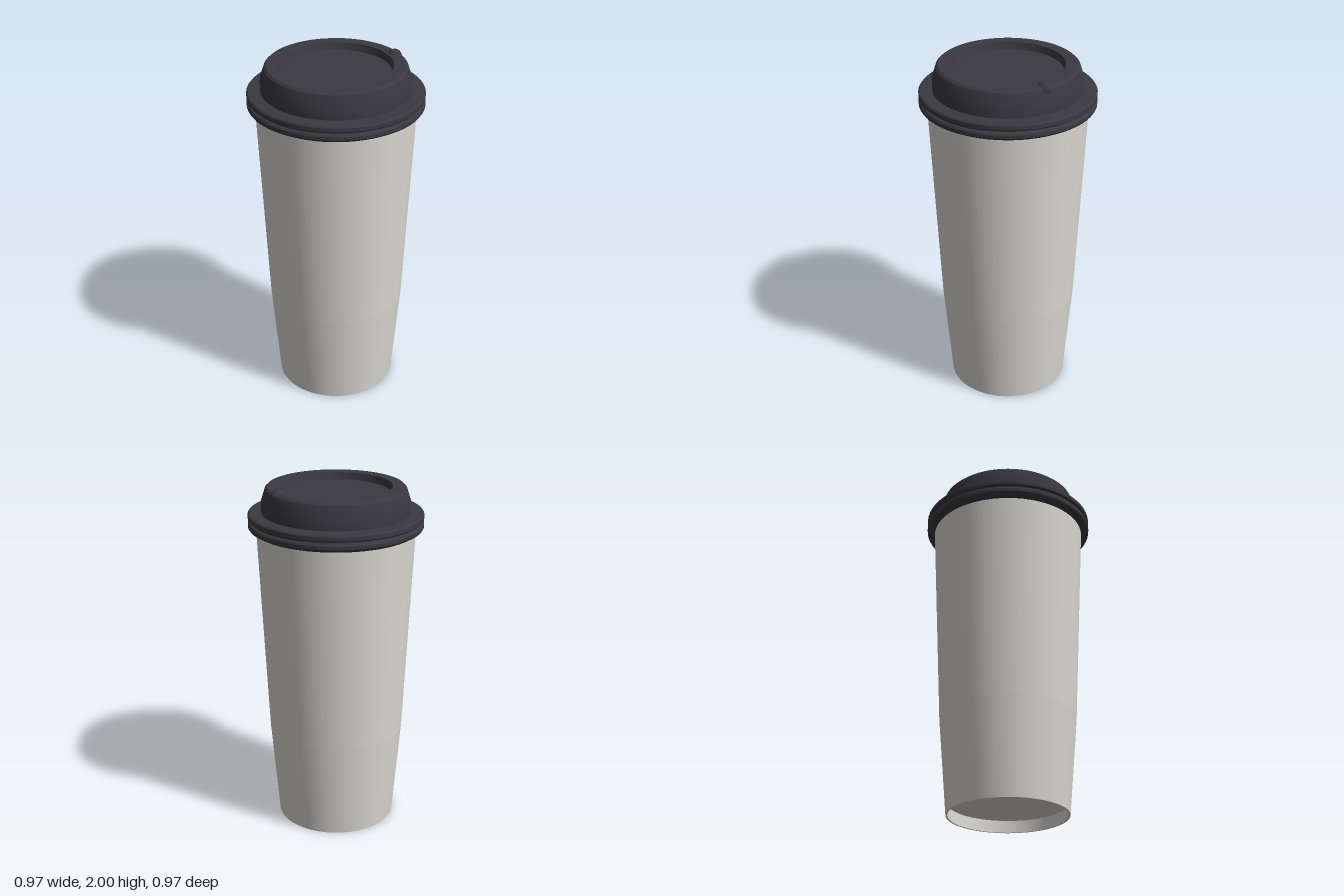
import * as THREE from 'three';
import { toCreasedNormals } from 'three/addons/utils/BufferGeometryUtils.js';

const SEGMENTS = 64;

export function createModel() {
  const group = new THREE.Group();
  group.name = 'travelCup';

  const cupMaterial = new THREE.MeshStandardMaterial({ color: 0xdcd9d2 });
  cupMaterial.name = 'warm white';
  const lidMaterial = new THREE.MeshStandardMaterial({ color: 0x3a3940 });
  lidMaterial.name = 'charcoal';

  // Turns a profile of [radius, height] pairs, keeping sharp edges
  function turned(name, profile, material) {
    const points = profile.map(([r, y]) => new THREE.Vector2(r, y));
    const geometry = toCreasedNormals(new THREE.LatheGeometry(points, SEGMENTS), 0.4);
    const mesh = new THREE.Mesh(geometry, material);
    mesh.name = name;
    group.add(mesh);
  }

  // Recessed underside, foot ring and steeper lower wall
  turned('cupBase', [
    [0, 0.07], [0.332, 0.07], [0.328, 0], [0.338, 0], [0.385, 0.56],
  ], cupMaterial);

  // Upper wall, running up inside the lid
  turned('cupWall', [[0.385, 0.56], [0.442, 1.76]], cupMaterial);

  // Lid: two-bead rim, raised collar and sunken top
  turned('lid', [
    [0.438, 1.738], [0.455, 1.738], [0.48, 1.752], [0.485, 1.76],
    [0.485, 1.778], [0.478, 1.788], [0.468, 1.79], [0.468, 1.799],
    [0.48, 1.8], [0.485, 1.806], [0.485, 1.828], [0.478, 1.836],
    [0.41, 1.838], [0.41, 1.9], [0.388, 1.968], [0.375, 1.98],
    [0.31, 1.98], [0.3, 1.94], [0, 1.94],
  ], lidMaterial);

  // Small round knob on the lid edge
  const knob = new THREE.Mesh(new THREE.SphereGeometry(0.04, 24, 16), lidMaterial);
  knob.name = 'lidKnob';
  knob.position.set(0.357, 1.96, 0);
  group.add(knob);

  return group;
}
